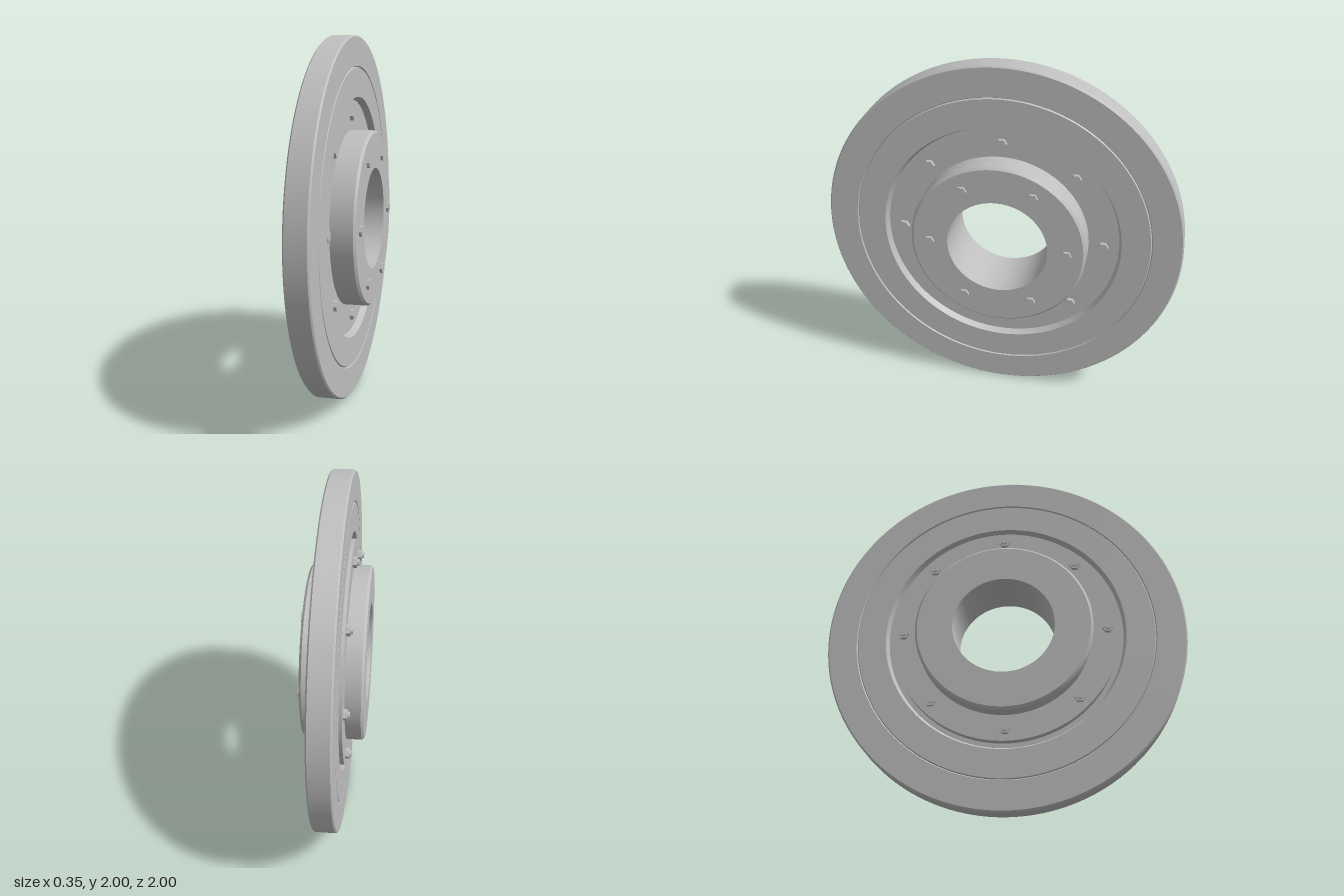
import * as THREE from 'three';
import { toCreasedNormals } from 'three/addons/utils/BufferGeometryUtils.js';

export function createModel() {
  const model = new THREE.Group();
  model.name = 'brakeDisc';
  const steel = new THREE.MeshStandardMaterial({ color: 0xbfbfbf });
  steel.name = 'steel grey';

  const add = (name, geometry, parent = model) => {
    const mesh = new THREE.Mesh(geometry, steel);
    mesh.name = name;
    parent.add(mesh);
    return mesh;
  };

  // Closed ring turned about the x axis; profile is [radius, x], counterclockwise
  const ring = (name, profile) => {
    const points = [...profile, profile[0]].map(([r, x]) => new THREE.Vector2(r, x));
    const geometry = toCreasedNormals(new THREE.LatheGeometry(points, 128), 0.4);
    geometry.rotateZ(-Math.PI / 2);
    return add(name, geometry);
  };

  // Friction disc with a thin groove and a stepped recess on both faces
  ring('frictionDisc', [
    [0.45, -0.03], [0.655, -0.03], [0.67, -0.064],
    [0.826, -0.064], [0.831, -0.056], [0.836, -0.064],
    [0.992, -0.064], [1, -0.056], [1, 0.054], [0.992, 0.062],
    [0.836, 0.062], [0.831, 0.054], [0.826, 0.062],
    [0.67, 0.062], [0.655, 0.025], [0.45, 0.025],
  ]);

  // Clamping plate on the nut side
  ring('clampPlate', [[0.45, -0.078], [0.63, -0.078], [0.63, -0.02], [0.45, -0.02]]);

  // Hub with chamfered rims and an open bore
  ring('hub', [
    [0.28, -0.175], [0.475, -0.175], [0.488, -0.162],
    [0.488, 0.147], [0.475, 0.16], [0.28, 0.16],
  ]);

  // Prism lying along x between x0 and x1
  const prism = (name, radius, sides, x0, x1, parent) => {
    const geometry = toCreasedNormals(
      new THREE.CylinderGeometry(radius, radius, x1 - x0, sides), sides > 6 ? 0.6 : 0.3);
    geometry.rotateZ(-Math.PI / 2);
    geometry.translate((x0 + x1) / 2, 0, 0);
    return add(name, geometry, parent);
  };

  // Circle of fasteners; build fills one group placed at each position
  const boltCircle = (name, count, radius, build) => {
    for (let i = 0; i < count; i++) {
      const a = (i / count) * Math.PI * 2;
      const bolt = new THREE.Group();
      bolt.name = name;
      bolt.position.set(0, 1 + Math.sin(a) * radius, Math.cos(a) * radius);
      build(bolt);
      model.add(bolt);
    }
  };

  boltCircle('hubBolt', 6, 0.383, (bolt) => {
    prism('hubBoltHead', 0.03, 6, 0.15, 0.175, bolt);
  });

  boltCircle('discBolt', 8, 0.567, (bolt) => {
    prism('discBoltHead', 0.03, 6, 0.02, 0.046, bolt);
    prism('discBoltNut', 0.03, 6, -0.1, -0.07, bolt);
    prism('discBoltStud', 0.017, 16, -0.112, -0.07, bolt);
  });

  // Lift the rings so the disc stands on the ground
  model.children.forEach((child) => {
    if (child.isMesh) child.position.y = 1;
  });
  return model;
}
